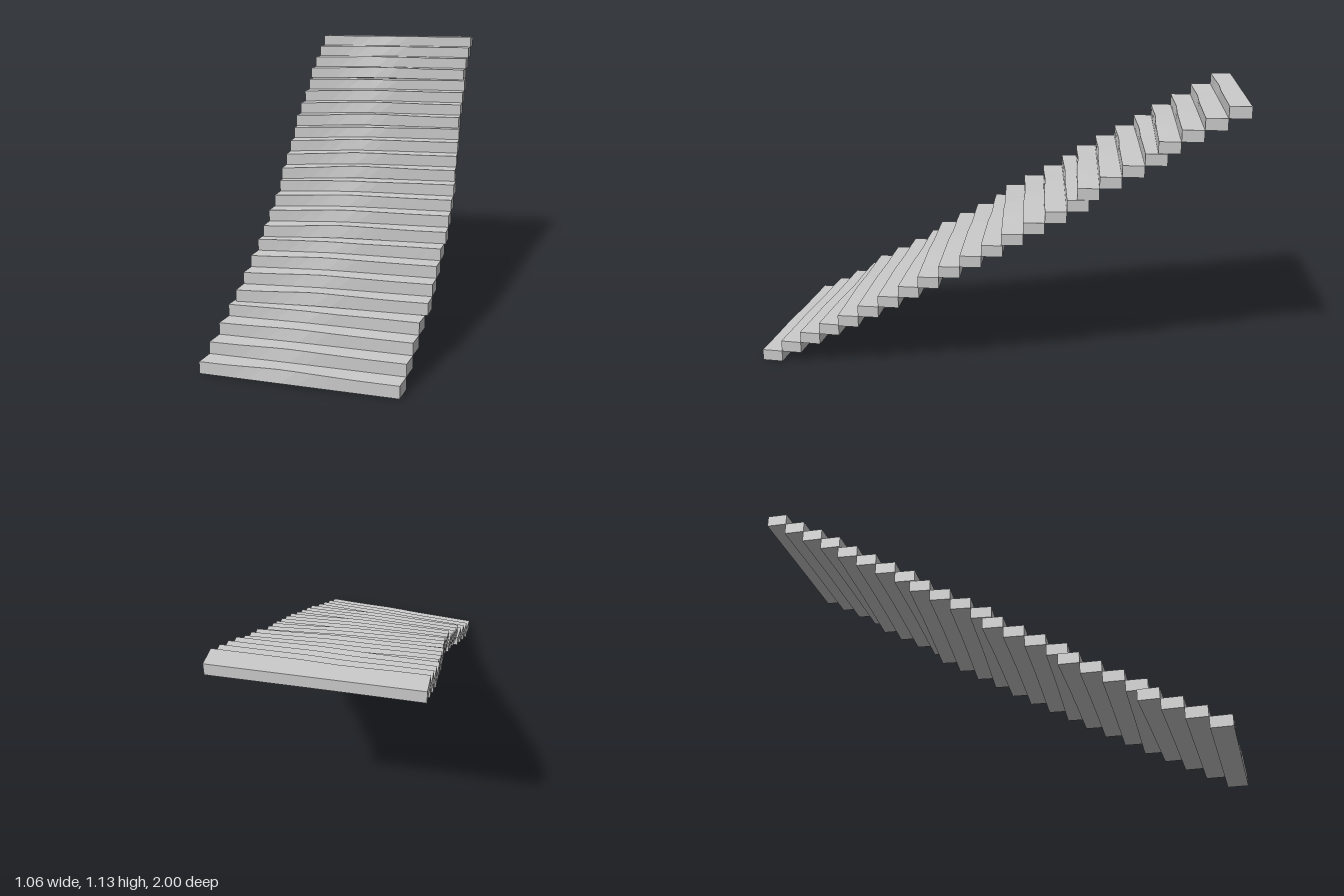
import * as THREE from 'three';

const WIDTH = 0.756, RISE = 0.0471, TREAD = 0.086;

// Each flight: front right corner x, z and how far its left end swings forward
const FLIGHTS = [
  [0.53, 0.946, 0.055],
  [0.515, 0.6, 0.1],
  [0.476, 0.261, 0.137],
  [0.41, -0.071, 0.17],
  [0.338, -0.36, 0.145],
  [0.27, -0.66, 0.117],
];
// Bulge of the middle of the tread for each step of a flight
const BULGES = [0.004, 0.002, 0.001, -0.003];
const PER_FLIGHT = BULGES.length;
const COUNT = FLIGHTS.length * PER_FLIGHT;

const { smoothstep } = THREE.MathUtils;

// Height change of the joint below step i; f runs from 0 at the left end to 1 at the right
function sag(i, f) {
  const strength = Math.sin((Math.PI * i) / COUNT);
  return -0.012 * strength * Math.max(0, 1 - f / 0.4) - 0.002 * strength * smoothstep(f, 0.5, 1);
}

// A block with its front right bottom corner at the origin and uneven, sagging faces
function stepGeometry(i) {
  const g = new THREE.BoxGeometry(WIDTH, RISE, TREAD, 12, 1, 1);
  g.translate(-WIDTH / 2, RISE / 2, -TREAD / 2);
  const bulge = i === COUNT - 1 ? 0 : BULGES[i % PER_FLIGHT];
  const p = g.attributes.position;
  for (let v = 0; v < p.count; v++) {
    const f = 1 + p.getX(v) / WIDTH;
    if (p.getY(v) < RISE / 2) {
      p.setY(v, sag(i, f));
      continue;
    }
    const front = p.getZ(v) > -TREAD / 2;
    const middle = smoothstep(f, 0.1, 0.45) * (1 - smoothstep(f, 0.5, 0.85));
    p.setY(v, RISE + sag(i + 1, f) + (front ? bulge : Math.min(bulge, 0)) * middle);
    // Front edge slightly set back left of the middle
    if (front) p.setZ(v, -0.005 * smoothstep(f, 0.1, 0.4) * (1 - smoothstep(f, 0.4, 0.6)));
  }
  g.computeVertexNormals();
  return g;
}

export function createModel() {
  const model = new THREE.Group();
  model.name = 'curvedStaircase';
  const stone = new THREE.MeshStandardMaterial({ color: 0xcccccc, flatShading: true });

  FLIGHTS.forEach(([x, z, swing], n) => {
    const flight = new THREE.Group();
    flight.name = 'flight' + (n + 1);
    flight.position.set(x, n * PER_FLIGHT * RISE, z);
    flight.rotation.y = Math.asin(swing / WIDTH);
    for (let k = 0; k < PER_FLIGHT; k++) {
      const i = n * PER_FLIGHT + k;
      const step = new THREE.Mesh(stepGeometry(i), stone);
      step.name = 'step' + (i + 1);
      step.position.set(0, k * RISE, -k * TREAD);
      flight.add(step);
    }
    model.add(flight);
  });
  return model;
}
